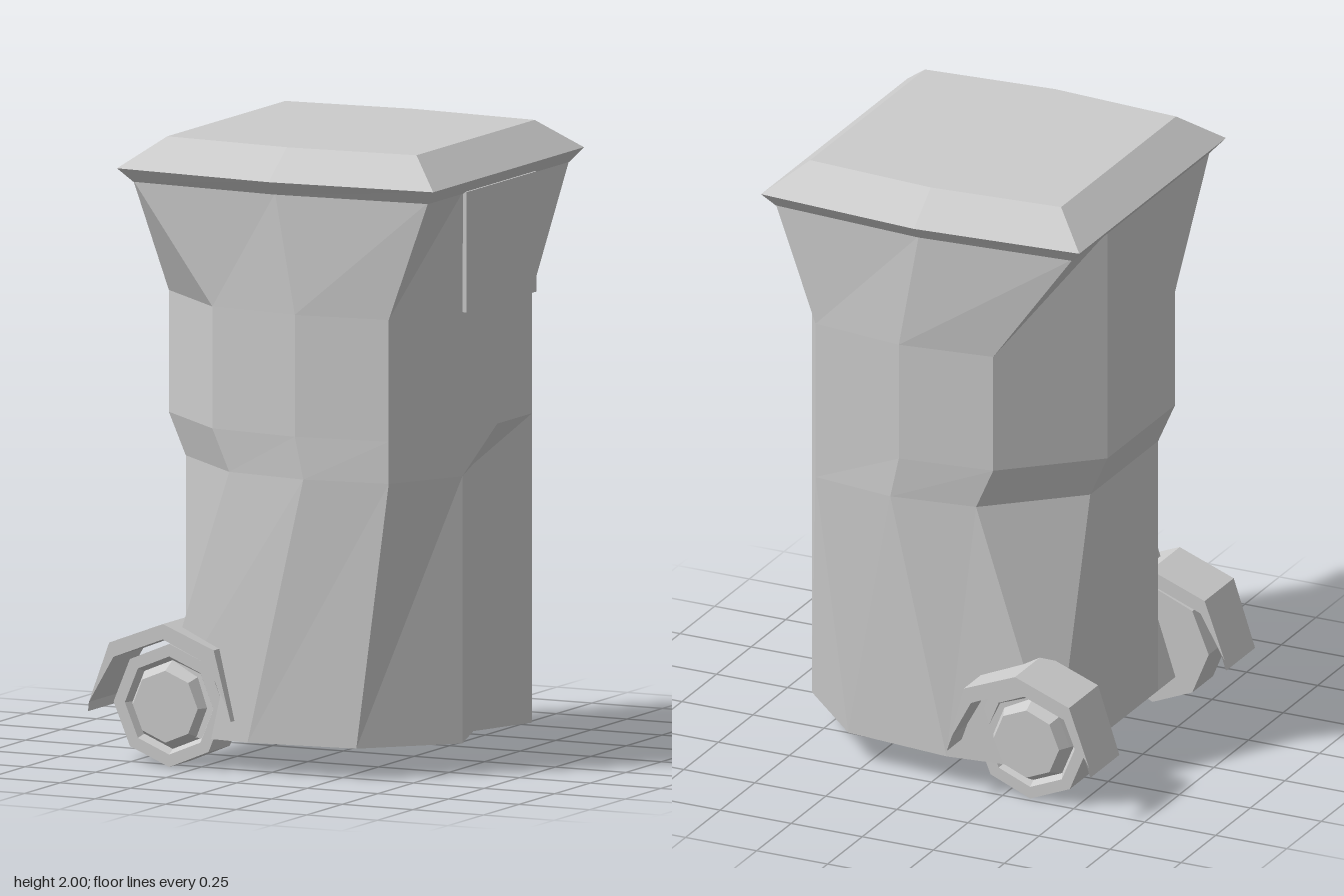
import * as THREE from 'three';

const material = new THREE.MeshStandardMaterial({ color: 0xcccccc, flatShading: true });
const CZ = 0.03; // the bin's own centre line in z

function addMesh(parent, name, geometry) {
  const mesh = new THREE.Mesh(geometry, material);
  mesh.name = name;
  parent.add(mesh);
  return mesh;
}

// Closed solid through rings of [x, y, z], ordered +z, +x, -z, -x and from bottom to top
function loft(rings) {
  const n = rings[0].length;
  const pos = [];
  const tri = (a, b, c) => pos.push(...a, ...b, ...c);
  const centre = (ring) => [0, 1, 2].map((k) => ring.reduce((s, p) => s + p[k], 0) / n);
  const first = rings[0], last = rings[rings.length - 1];
  const low = centre(first), high = centre(last);
  for (let i = 0; i < n; i++) {
    const j = (i + 1) % n;
    for (let r = 0; r + 1 < rings.length; r++) {
      const a = rings[r], b = rings[r + 1];
      tri(a[i], a[j], b[j]);
      tri(a[i], b[j], b[i]);
    }
    tri(low, first[j], first[i]);
    tri(high, last[i], last[j]);
  }
  const g = new THREE.BufferGeometry();
  g.setAttribute('position', new THREE.Float32BufferAttribute(pos, 3));
  g.computeVertexNormals();
  return g;
}

// Body section: bowed sides, cut corners and a groove down the +x face
function bodyRing([y, cornerL, left, cornerR, right, groove]) {
  const mid = (cornerL + cornerR) / 2;
  return [
    [mid, 0.535], [cornerR, 0.495], [right, 0.245], [groove, 0], [right, -0.245], [cornerR, -0.495],
    [mid, -0.535], [cornerL, -0.495], [left, -0.245], [left, 0.245], [cornerL, 0.495],
  ].map(([x, z]) => [x, y, z + CZ]);
}

// Lid section: rectangle with bowed long sides
function lidRing([y, x0, x1, zCorner, zMid]) {
  const mid = (x0 + x1) / 2;
  return [[mid, zMid], [x1, zCorner], [x1, -zCorner], [mid, -zMid], [x0, -zCorner], [x0, zCorner]]
    .map(([x, z]) => [x, y, z + CZ]);
}

export function createModel() {
  const model = new THREE.Group();
  model.name = 'wheeledBin';

  // Body: y, left corner x, left face x, right corner x, right face x, groove x
  addMesh(model, 'body', loft([
    [0.1, -0.42, -0.42, 0.31, 0.56, 0.475],
    [0.955, -0.14, -0.42, 0.425, 0.56, 0.475],
    [1.09, -0.2, -0.48, 0.425, 0.56, 0.56],
    [1.48, -0.2, -0.48, 0.425, 0.56, 0.56],
    [1.865, -0.48, -0.48, 0.565, 0.562, 0.562],
  ].map(bodyRing)));

  // Lid: flared rim and sloping top
  addMesh(model, 'lid', loft([
    [1.86, -0.48, 0.565, 0.495, 0.535],
    [1.905, -0.52, 0.6, 0.53, 0.575],
    [2.0, -0.4, 0.483, 0.415, 0.45],
  ].map(lidRing)));

  // Thin raised plate under the lid
  addMesh(model, 'facePlate', new THREE.BoxGeometry(0.03, 0.385, 0.49))
    .position.set(0.56, 1.6725, CZ);

  // Wheel: tyre, sunken ring and protruding hub
  const wheelGeometry = new THREE.LatheGeometry([
    [0, 0], [0.197, 0], [0.197, 0.15], [0.157, 0.15], [0.142, 0.125],
    [0.135, 0.14], [0.115, 0.178], [0, 0.178],
  ].map(([r, h]) => new THREE.Vector2(r, h)), 8);
  wheelGeometry.rotateX(Math.PI / 2);

  // Mudguard: angular arch, thin at both ends
  const arch = new THREE.Shape([
    [-0.265, -0.035], [-0.262, -0.005], [-0.175, 0.145], [0, 0.213], [0.155, 0.145], [0.222, 0.02],
    [0.24, -0.035], [0.18, 0.19], [0, 0.262], [-0.19, 0.19],
  ].map(([x, y]) => new THREE.Vector2(x, y)));
  const guardGeometry = new THREE.ExtrudeGeometry(arch, { depth: 0.21, bevelEnabled: false });

  for (const [side, wheelZ, guardZ] of [['left', 0.4, 0.375], ['right', -0.335, -0.605]]) {
    const wheel = addMesh(model, side + 'Wheel', wheelGeometry);
    wheel.position.set(-0.34, 0.197, wheelZ);
    if (wheelZ < 0) wheel.rotation.y = Math.PI;
    addMesh(model, side + 'Mudguard', guardGeometry).position.set(-0.345, 0.2, guardZ);
  }
  return model;
}
